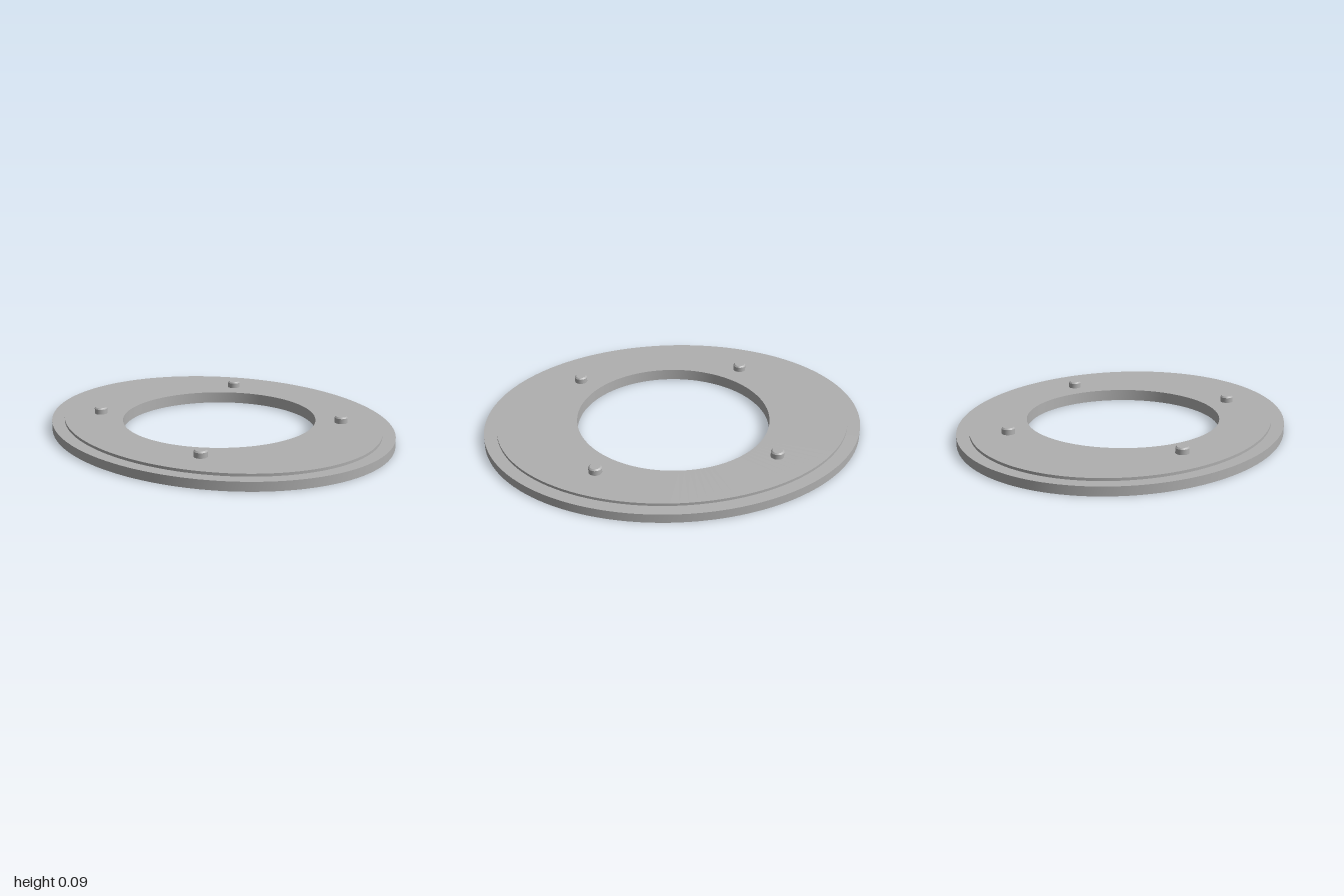
import * as THREE from 'three';

const ring = (rx, rz, y) => ({ rx, rz, y });

// Closed band between two elliptical rings, smooth around and sharp at its rims
function band(a, b, sides) {
  const pos = [], index = [];
  for (let i = 0; i < sides; i++) {
    const t = (i / sides) * Math.PI * 2, c = Math.cos(t), s = Math.sin(t);
    pos.push(a.rx * c, a.y, a.rz * s, b.rx * c, b.y, b.rz * s);
    const p = 2 * i, q = 2 * ((i + 1) % sides);
    index.push(p, p + 1, q, q, p + 1, q + 1);
  }
  const g = new THREE.BufferGeometry();
  g.setAttribute('position', new THREE.Float32BufferAttribute(pos, 3));
  g.setIndex(index);
  g.computeVertexNormals();
  return g;
}

// One band mesh per pair of neighbouring rings
function shell(name, rings, sides, material) {
  const group = new THREE.Group();
  group.name = name;
  for (let i = 0; i + 1 < rings.length; i++) {
    const mesh = new THREE.Mesh(band(rings[i], rings[i + 1], sides), material);
    mesh.name = name + 'Surface' + (i + 1);
    group.add(mesh);
  }
  return group;
}

export function createModel() {
  const model = new THREE.Group();
  model.name = 'ovalFlange';
  const grey = new THREE.MeshStandardMaterial({ color: 0xb0b0b0 });
  grey.name = 'plain grey';

  const bore = 0.512, ledgeY = 0.047, faceY = 0.061;
  const boreBottom = ring(bore, bore, 0), boreTop = ring(bore, bore, faceY);
  const stepFoot = ring(0.778, 0.933, ledgeY);

  // Oval base plate: underside, rim and ledge
  model.add(shell('basePlate',
    [boreBottom, ring(0.845, 1, 0), ring(0.845, 1, ledgeY), stepFoot], 128, grey));

  // Raised oval face and the round bore through the plate
  model.add(shell('raisedFace', [stepFoot, ring(0.778, 0.933, faceY), boreTop], 128, grey));
  model.add(shell('bore', [boreTop, boreBottom], 128, grey));

  // Four chamfered studs around the bore
  for (const x of [-1, 1]) for (const z of [-1, 1]) {
    const stud = shell('stud', [
      ring(0.034, 0.034, faceY), ring(0.034, 0.034, 0.088),
      ring(0.027, 0.027, 0.095), ring(0, 0, 0.095),
    ], 32, grey);
    stud.position.set(x * 0.457, 0, z * 0.457);
    model.add(stud);
  }
  return model;
}
